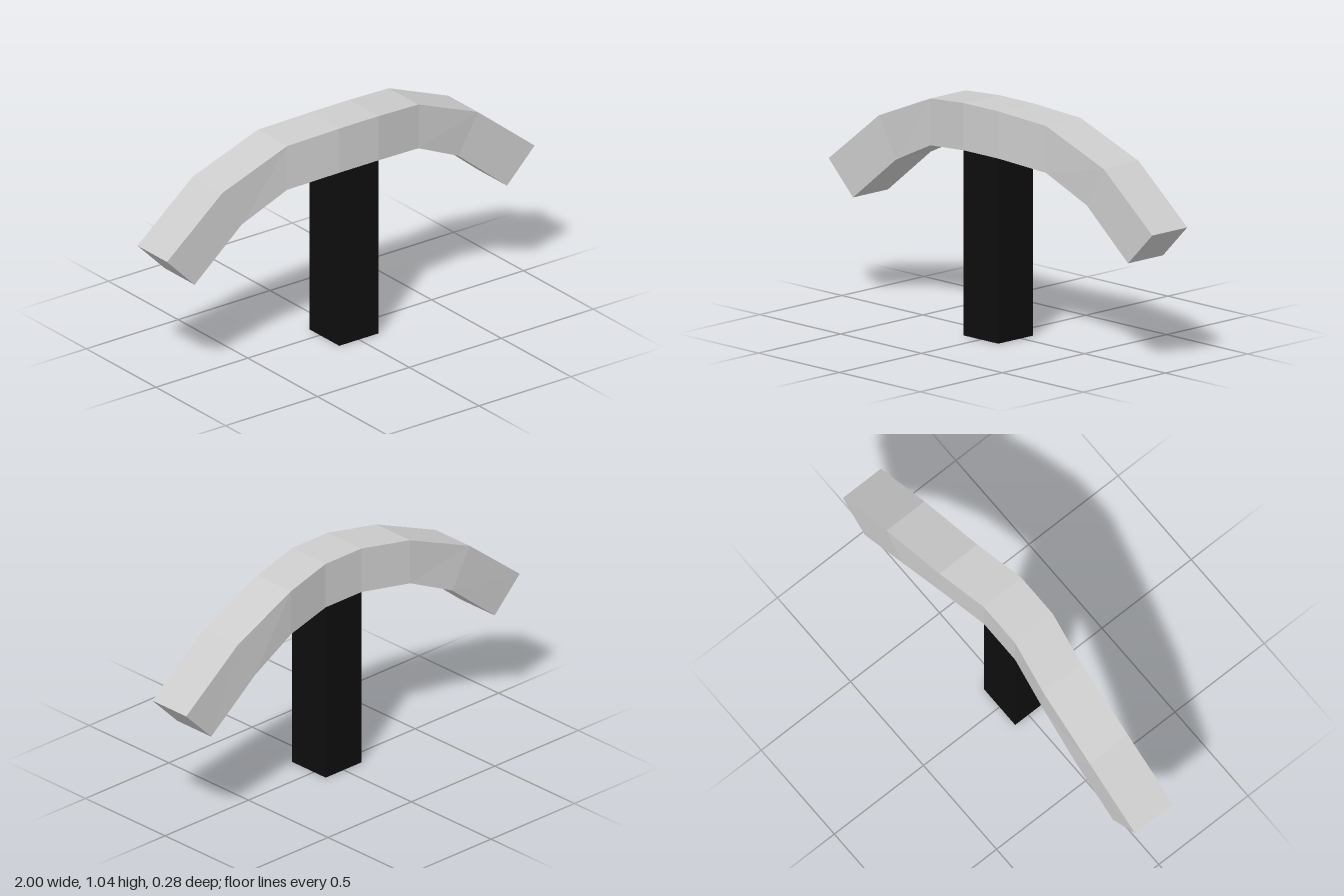
import * as THREE from 'three';

// Half of the arch: [top x, top y, bottom x, bottom y, front z, back z]
const HALF = [
  [0.107, 1.037, 0.107, 0.826, 0.138, -0.074],
  [0.357, 1.007, 0.357, 0.798, 0.094, -0.118],
  [0.695, 0.87, 0.59, 0.69, 0.075, -0.138],
  [1.0, 0.627, 0.85, 0.477, 0.08, -0.133],
];

// Square beam swept through the mirrored cross-sections
function archGeometry() {
  const mirrored = HALF.map(([tx, ty, bx, by, f, b]) => [-tx, ty, -bx, by, f, b]).reverse();
  const rings = [...mirrored, ...HALF].map(([tx, ty, bx, by, f, b]) => [
    [tx, ty, f], [tx, ty, b], [bx, by, b], [bx, by, f],
  ]);
  const positions = [];
  const quad = (a, b, c, d) => positions.push(...a, ...b, ...c, ...a, ...c, ...d);
  for (let i = 0; i < rings.length - 1; i++) {
    for (let k = 0; k < 4; k++) {
      const n = (k + 1) % 4;
      quad(rings[i][k], rings[i + 1][k], rings[i + 1][n], rings[i][n]);
    }
  }
  // End caps
  quad(...rings[0]);
  quad(...[...rings[rings.length - 1]].reverse());

  const geometry = new THREE.BufferGeometry();
  geometry.setAttribute('position', new THREE.Float32BufferAttribute(positions, 3));
  geometry.computeVertexNormals();
  return geometry;
}

export function createModel() {
  const lightGrey = new THREE.MeshStandardMaterial({ color: 0xcccccc });
  lightGrey.name = 'lightGrey';
  const black = new THREE.MeshStandardMaterial({ color: 0x0e0e0e });
  black.name = 'black';

  const model = new THREE.Group();
  model.name = 'archOnPost';

  // Curved crosspiece
  const arch = new THREE.Mesh(archGeometry(), lightGrey);
  arch.name = 'curvedHead';

  // Upright post, meeting the underside of the arch
  const post = new THREE.Mesh(new THREE.BoxGeometry(0.214, 0.826, 0.212), black);
  post.name = 'post';
  post.position.set(0, 0.413, 0.032);

  model.add(arch, post);
  return model;
}
